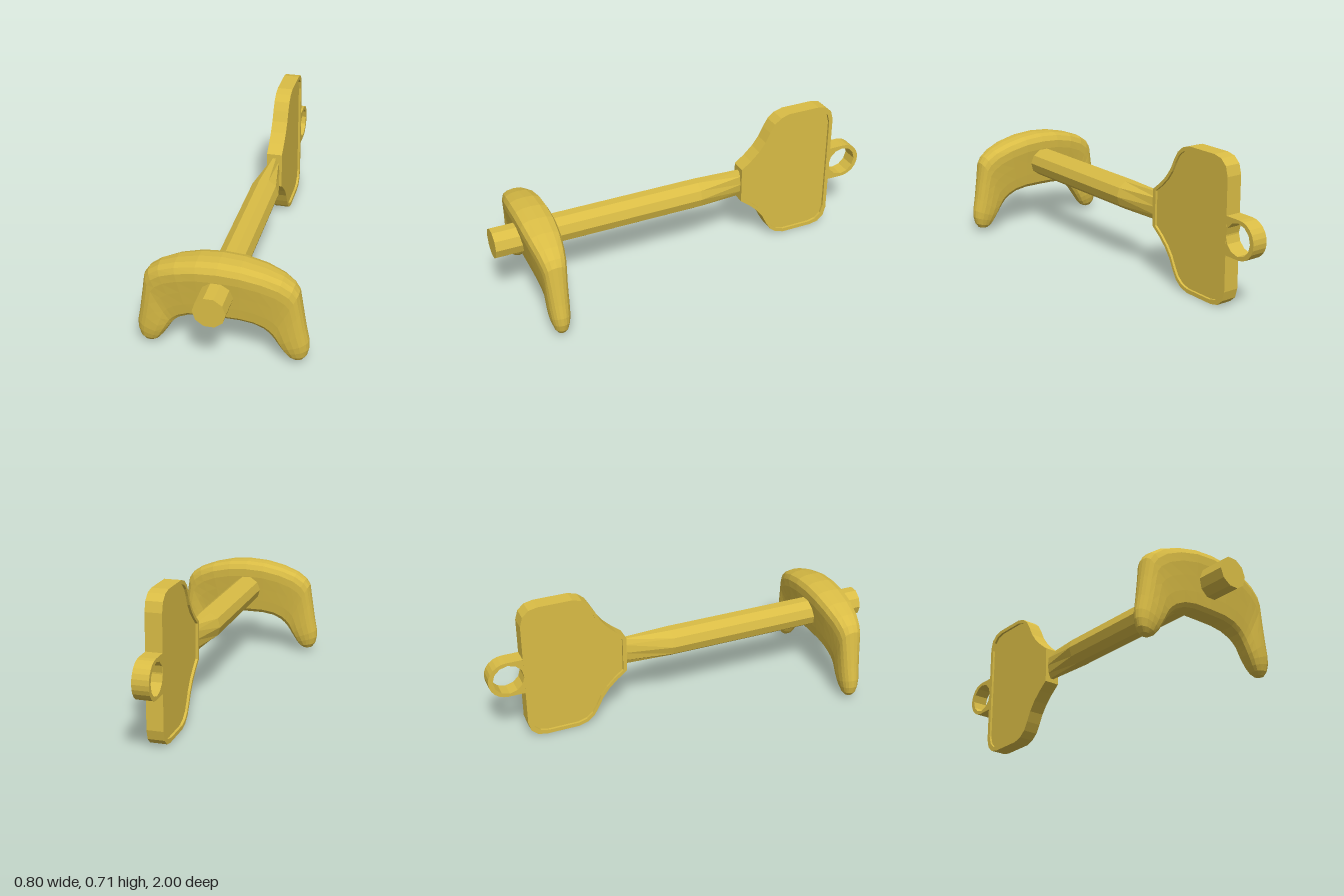
import * as THREE from 'three';

const CX = -0.005, CY = 0.357; // axis of the shaft
const THICK = 0.08; // bow thickness along x

const brass = new THREE.MeshStandardMaterial({ color: 0xd9bc45, flatShading: true, side: THREE.DoubleSide });

function addMesh(parent, name, geometry) {
  const mesh = new THREE.Mesh(geometry, brass);
  mesh.name = name;
  parent.add(mesh);
  return mesh;
}

// Extrudes a (-z, y) profile across x, centred on the shaft axis
function plate(shape, thickness) {
  return new THREE.ExtrudeGeometry(shape, { depth: thickness, bevelEnabled: false, curveSegments: 6 })
    .translate(0, 0, -thickness / 2)
    .rotateY(Math.PI / 2)
    .translate(CX, CY, 0);
}

// Ten-sided rod along z whose rear end can be narrowed in x
function rod(zFront, zBack, rearScale) {
  const g = new THREE.CylinderGeometry(0.075, 0.075, zFront - zBack, 10, 1, false, Math.PI / 2)
    .rotateX(Math.PI / 2)
    .translate(0, 0, (zFront + zBack) / 2);
  const p = g.attributes.position;
  for (let i = 0; i < p.count; i++) {
    if (p.getZ(i) < zBack + 0.001) p.setX(i, p.getX(i) * rearScale);
  }
  return g.translate(CX, CY, 0);
}

// Upper half of the bow outline, mirrored below
const bowHalf = [
  [0.305, 0.093], [0.355, 0.132], [0.40, 0.175], [0.435, 0.222], [0.46, 0.272], [0.485, 0.314],
  [0.52, 0.342], [0.565, 0.356], [0.735, 0.356], [0.78, 0.346], [0.812, 0.317], [0.825, 0.27],
];
function bowOutline(su, sv) {
  const half = bowHalf.map(([u, v]) => new THREE.Vector2(0.565 + (u - 0.565) * su, v * sv));
  return [...half, ...half.map((p) => new THREE.Vector2(p.x, -p.y)).reverse()];
}

// Cross-section of the crossbar (t from inner to outer edge, relative depth):
// egg-shaped in the middle, oval in the legs
const egg = [[0, 0], [0, 0.45], [0.06, 0.62], [0.25, 0.73], [0.5, 0.86], [0.72, 0.98], [0.86, 1], [0.95, 0.85], [0.99, 0.5], [1, 0]];
const oval = [[0, 0], [0.04, 0.45], [0.12, 0.75], [0.3, 0.95], [0.5, 1], [0.7, 0.95], [0.82, 0.8], [0.92, 0.58], [0.98, 0.3], [1, 0]];

// Stations: outer x, y, inner x, y, half depth, blend from egg to oval
const stations = [
  [0, 0.515, 0, 0.219, 0.087, 0],
  [0.1, 0.508, 0.09, 0.218, 0.086, 0],
  [0.2, 0.486, 0.15, 0.207, 0.08, 0.05],
  [0.28, 0.456, 0.195, 0.184, 0.07, 0.15],
  [0.33, 0.422, 0.215, 0.163, 0.062, 0.3],
  [0.352, 0.39, 0.23, 0.143, 0.057, 0.45],
  [0.367, 0.3, 0.243, 0.122, 0.054, 0.7],
  [0.384, 0.2, 0.256, 0.1, 0.051, 0.9],
  [0.398, 0.13, 0.27, 0.079, 0.047, 1],
  [0.399, 0.09, 0.285, 0.056, 0.041, 1],
  [0.39, 0.052, 0.304, 0.035, 0.032, 1],
  [0.373, 0.029, 0.325, 0.023, 0.02, 1],
  [0.348, 0.019, 0.348, 0.019, 0, 1],
];

function crossbarGeometry() {
  const mirrored = stations.slice(1).reverse().map(([ox, oy, ix, iy, w, k]) => [-ox, oy, -ix, iy, w, k]);
  const path = [...mirrored, ...stations];
  const last = egg.length - 1, n = last * 2;
  const verts = [], index = [];
  path.forEach(([ox, oy, ix, iy, w, k], i) => {
    for (let j = 0; j < n; j++) {
      const m = j <= last ? j : n - j;
      const t = THREE.MathUtils.lerp(egg[m][0], oval[m][0], k);
      const d = THREE.MathUtils.lerp(egg[m][1], oval[m][1], k) * w * (j <= last ? 1 : -1);
      verts.push(ix + (ox - ix) * t, iy + (oy - iy) * t, 0.797 + d);
      if (i < path.length - 1) {
        const a = i * n + j, c = i * n + (j + 1) % n;
        index.push(a, a + n, c, a + n, c + n, c);
      }
    }
  });
  const g = new THREE.BufferGeometry();
  g.setAttribute('position', new THREE.Float32BufferAttribute(verts, 3));
  g.setIndex(index);
  g.computeVertexNormals();
  return g;
}

export function createModel() {
  const model = new THREE.Group();
  model.name = 'windUpKey';

  // Shaft and its flattened end
  addMesh(model, 'shaft', rod(1, -0.065, 1));
  addMesh(model, 'shaftTaper', rod(-0.065, -0.318, 0.33));

  // Two-legged crossbar
  addMesh(model, 'crossbar', crossbarGeometry());

  // Bow: raised rim around a recessed panel
  const bow = new THREE.Group();
  bow.name = 'bow';
  model.add(bow);
  const rim = new THREE.Shape(bowOutline(1, 1));
  rim.holes.push(new THREE.Path(bowOutline(0.925, 0.945).reverse()));
  addMesh(bow, 'bowRim', plate(rim, THICK));
  addMesh(bow, 'bowPanel', plate(new THREE.Shape(bowOutline(0.95, 0.965)), THICK - 0.024));

  // Hanging loop behind the bow
  const loop = new THREE.Shape();
  loop.moveTo(0.815, -0.093);
  loop.lineTo(0.907, -0.093);
  loop.absarc(0.907, 0, 0.093, -Math.PI / 2, Math.PI / 2, false);
  loop.lineTo(0.815, 0.093);
  loop.closePath();
  const eye = new THREE.Path();
  eye.absarc(0.901, 0, 0.077, 0, Math.PI * 2, true);
  loop.holes.push(eye);
  addMesh(bow, 'hangingLoop', plate(loop, THICK - 0.001));

  return model;
}
